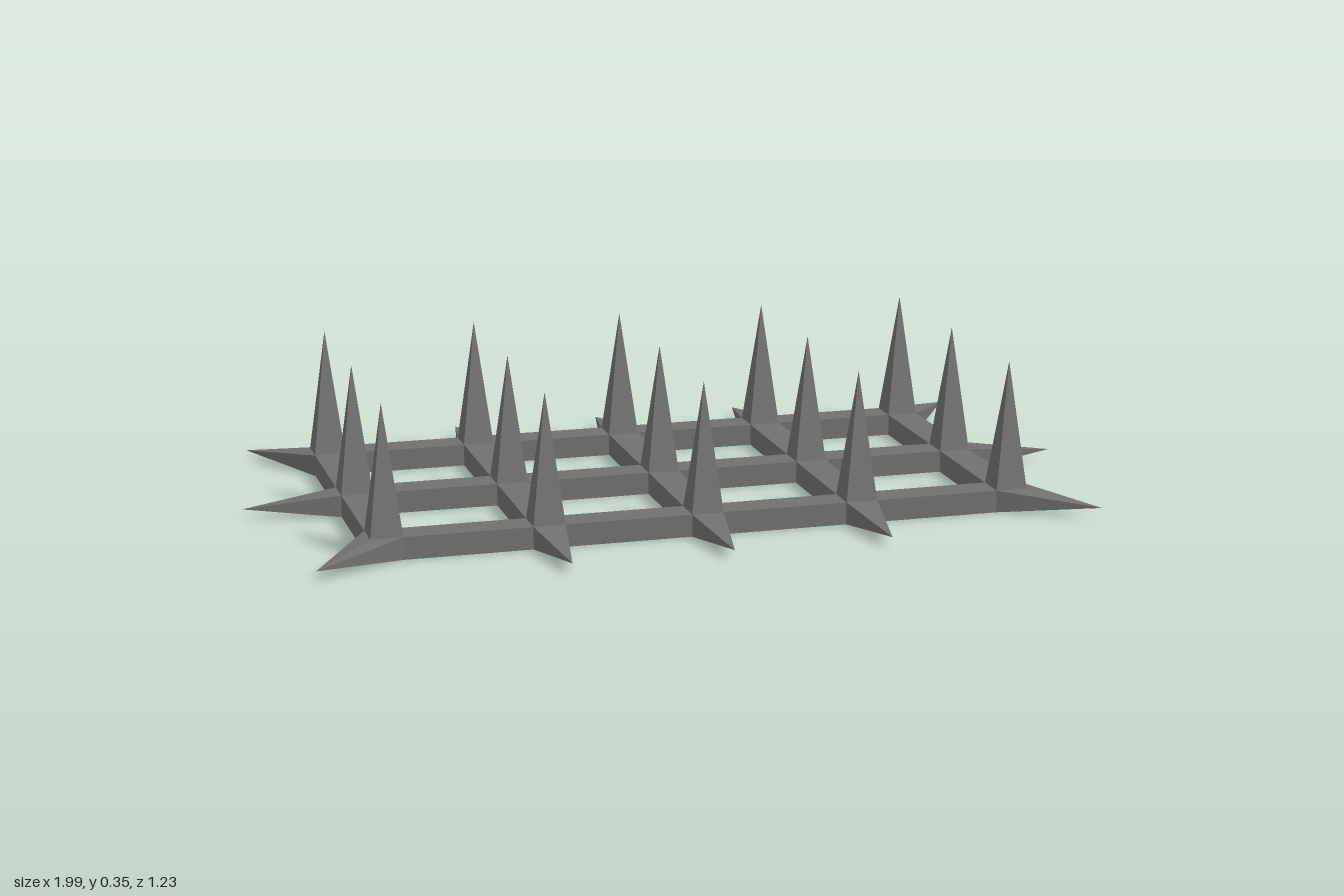
import * as THREE from 'three';

const BAR = 0.074;            // bar width
const THICK = 0.052;          // bar thickness
const XS = [-0.735, -0.3675, 0, 0.3675, 0.735];
const ZS = [-0.369, 0, 0.369];
const HX = XS[4] + BAR / 2, HZ = ZS[2] + BAR / 2;   // half extents of the grid
const MID = THICK / 2;

function faceted(geometry) {
  const g = geometry.index ? geometry.toNonIndexed() : geometry;
  g.computeVertexNormals();
  return g;
}

// Four-sided pyramid standing on y = 0
function pyramid(width, length, depth) {
  return new THREE.ConeGeometry(Math.SQRT1_2, 1, 4, 1, true)
    .rotateY(Math.PI / 4).translate(0, 0.5, 0).scale(width, length, depth);
}

// Triangles from a ring (counter-clockwise seen from the tip) to the tip
function fan(ring, tip) {
  const pos = [];
  ring.forEach((p, i) => pos.push(...p, ...ring[(i + 1) % ring.length], ...tip));
  const g = new THREE.BufferGeometry();
  g.setAttribute('position', new THREE.Float32BufferAttribute(pos, 3));
  return faceted(g);
}

function rectangle(Type, x0, y0, x1, y1) {
  const s = new Type();
  s.moveTo(x0, y0);
  s.lineTo(x1, y0);
  s.lineTo(x1, y1);
  s.lineTo(x0, y1);
  s.closePath();
  return s;
}

export function createModel() {
  const model = new THREE.Group();
  model.name = 'spikeGrid';
  const iron = new THREE.MeshStandardMaterial({ color: 0x707070 });
  iron.name = 'dark iron';
  const add = (name, geometry) => {
    const mesh = new THREE.Mesh(geometry, iron);
    mesh.name = name;
    model.add(mesh);
    return mesh;
  };

  // Flat lattice of bars with eight openings
  const outline = rectangle(THREE.Shape, -HX, -HZ, HX, HZ);
  const b = BAR / 2;
  for (let i = 0; i < 4; i++) {
    for (let j = 0; j < 2; j++) {
      outline.holes.push(rectangle(THREE.Path, XS[i] + b, ZS[j] + b, XS[i + 1] - b, ZS[j + 1] - b));
    }
  }
  add('lattice', faceted(new THREE.ExtrudeGeometry(outline, { depth: THICK, bevelEnabled: false })
    .rotateX(-Math.PI / 2)));

  // Upright spike on every crossing
  const upright = faceted(pyramid(BAR, 0.298, BAR));
  for (const x of XS) {
    for (const z of ZS) add('uprightSpike', upright).position.set(x, THICK, z);
  }

  // Horizontal spikes around the rim
  const rim = (length) => faceted(pyramid(BAR, length, THICK).rotateX(Math.PI / 2));
  const longSide = rim(0.614 - HZ), shortSide = rim(0.997 - HX);
  for (const s of [-1, 1]) {
    for (const x of XS.slice(1, 4)) {
      const spike = add(s > 0 ? 'frontSpike' : 'backSpike', longSide);
      spike.position.set(x, MID, s * HZ);
      spike.rotation.y = s > 0 ? 0 : Math.PI;
    }
    const side = add(s > 0 ? 'leftSpike' : 'rightSpike', shortSide);
    side.position.set(s * HX, MID, 0);
    side.rotation.y = s * Math.PI / 2;
  }

  // Corner spikes wrap both outer faces of the corner
  for (const sx of [-1, 1]) {
    for (const sz of [-1, 1]) {
      const plan = [[HX - BAR, HZ], [HX, HZ], [HX, HZ - BAR]];
      const at = (y) => ([x, z]) => [sx * x, y, sz * z];
      const ring = [...plan.map(at(0)), ...plan.map(at(THICK)).reverse()];
      if (sx * sz < 0) ring.reverse();
      add('cornerSpike', fan(ring, [sx * 0.912, MID, sz * 0.522]));
    }
  }
  return model;
}
